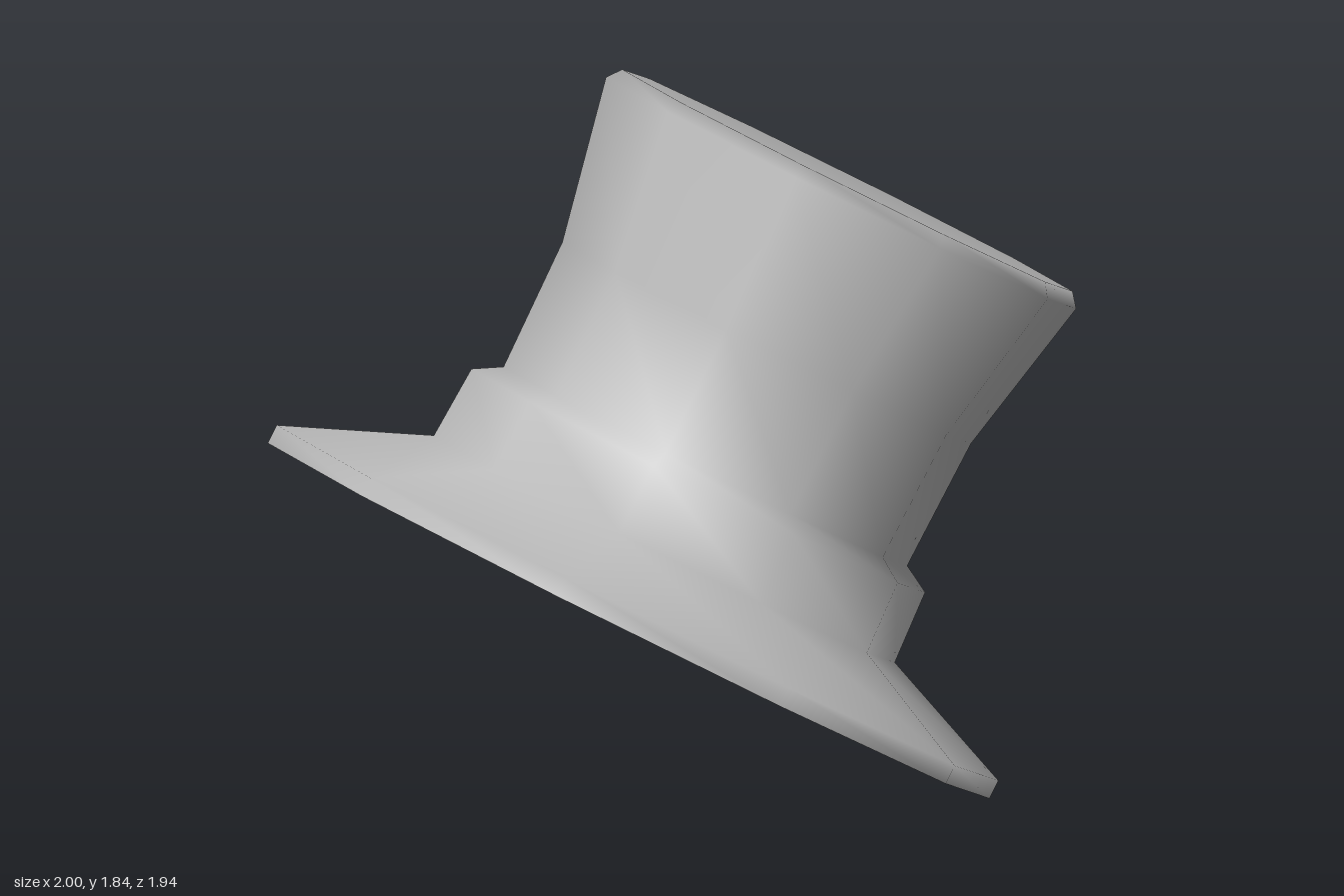
import * as THREE from 'three';

const SIDES = 10;

export function createModel() {
  const felt = new THREE.MeshStandardMaterial({ color: 0xbcbcbc });
  felt.name = 'grey felt';

  const hat = new THREE.Group();
  hat.name = 'topHat';

  // Ten-sided body: rim, brim, band with a ledge, waisted crown, bevelled top
  const profile = [
    [1.01, 0], [1.01, 0.05],
    [0.645, 0.2], [0.635, 0.39],
    [0.565, 0.43], [0.572, 0.773],
    [0.658, 1.19], [0.63, 1.225], [0, 1.225],
  ].map(([r, y]) => new THREE.Vector2(r, y));
  const body = new THREE.Mesh(new THREE.LatheGeometry(profile, SIDES), felt);
  body.name = 'brimBandAndCrown';
  hat.add(body);

  // Flat underside, its corners aligned with the rim
  const cap = new THREE.CircleGeometry(1.01, SIDES);
  cap.rotateX(Math.PI / 2);
  cap.rotateY(Math.PI / 2);
  const underside = new THREE.Mesh(cap, felt);
  underside.name = 'underside';
  hat.add(underside);

  // Lean the hat: its axis points up, left and forward; one corner points along `corner`
  const axis = new THREE.Vector3(0.4446, 0.874, 0.1948).normalize();
  const corner = new THREE.Vector3(0.881, -0.467, 0.084);
  corner.addScaledVector(axis, -corner.dot(axis)).normalize();
  const side = new THREE.Vector3().crossVectors(axis, corner);
  hat.quaternion.setFromRotationMatrix(new THREE.Matrix4().makeBasis(side, axis, corner));
  hat.position.set(-0.113, 0.475, -0.005);

  const model = new THREE.Group();
  model.name = 'leaningHat';
  model.add(hat);
  return model;
}
